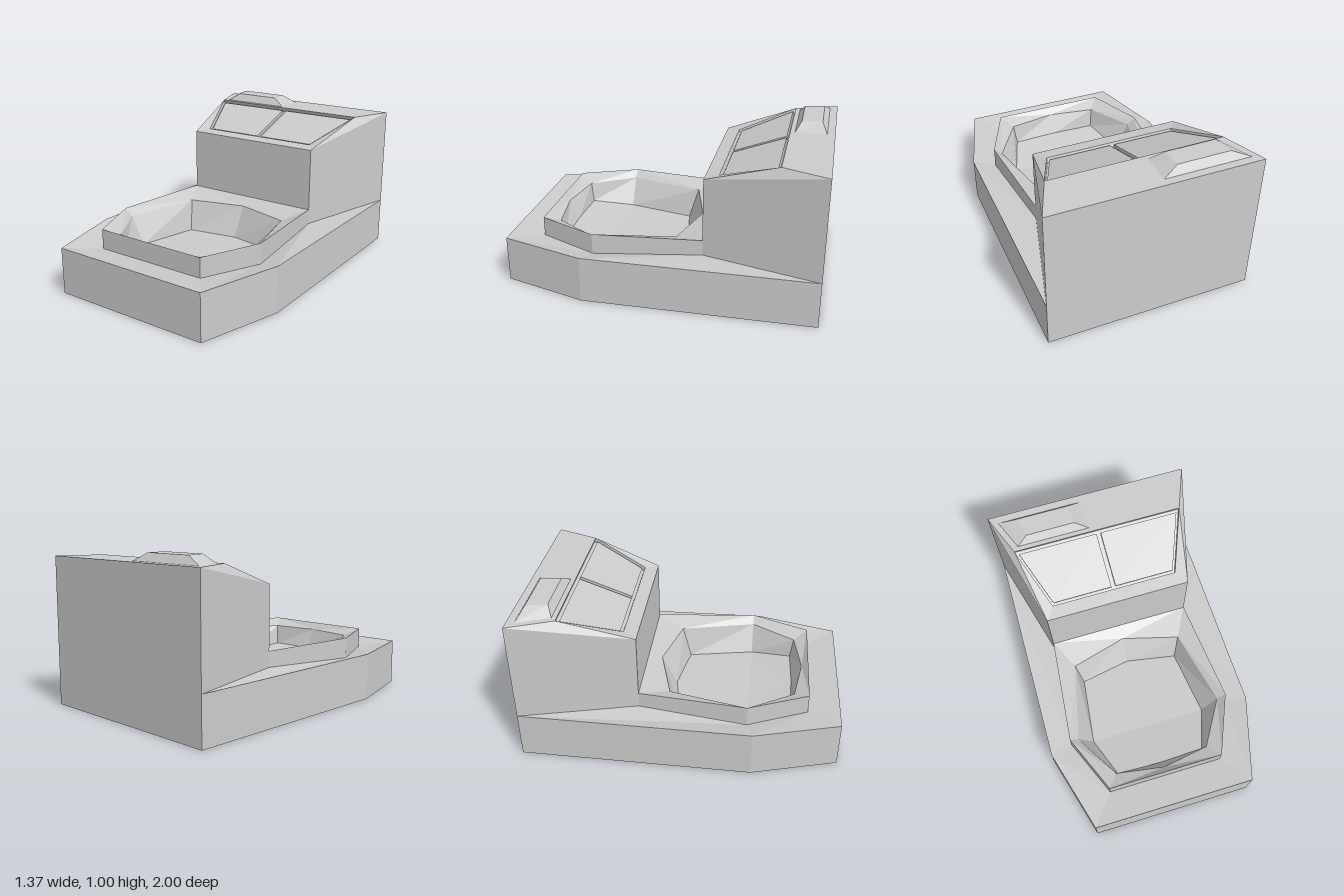
import * as THREE from 'three';

const material = new THREE.MeshStandardMaterial({ color: 0xcccccc, flatShading: true });

// Mirrored outline: half lists [x, y, z] along the right side, front to back
function ring(half) {
  return [...half, ...half.filter((p) => p[0] > 0).reverse().map(mirror)];
}

function mirror([x, y, z]) {
  return [-x, y, z];
}

// Convex polygon, corners counter-clockwise from outside
function poly(...pts) {
  const out = [];
  for (let i = 1; i < pts.length - 1; i++) out.push(...pts[0], ...pts[i], ...pts[i + 1]);
  return out;
}

// Surface between two loops of equal length
function band(a, b) {
  return a.flatMap((p, i) => {
    const j = (i + 1) % a.length;
    return poly(p, a[j], b[j], b[i]);
  });
}

// Upward surface between two loops of any length and height
function collar(outer, inner) {
  const flat = (loop) => loop.map(([x, , z]) => new THREE.Vector2(x, -z));
  const pts = [...outer, ...inner];
  return THREE.ShapeUtils.triangulateShape(flat(outer), [flat(inner)])
    .flatMap((tri) => tri.flatMap((i) => pts[i]));
}

function solid(name, ...parts) {
  const g = new THREE.BufferGeometry();
  g.setAttribute('position', new THREE.Float32BufferAttribute(parts.flat(), 3));
  g.computeVertexNormals();
  const mesh = new THREE.Mesh(g, material);
  mesh.name = name;
  return mesh;
}

export function createModel() {
  const group = new THREE.Group();
  group.name = 'model';

  // Tapered base, its top dipping towards the deck and its underside dished
  const baseAt = (y) => ring([[0.535, y, 1], [0.685, y, 0.46], [0.66, y, -1]]);
  const deckAt = (front, middle, back) =>
    ring([[0.38, front, 0.8], [0.54, middle, 0.42], [0.47, back, -0.27]]);
  const baseLow = baseAt(0), baseTop = baseAt(0.3);
  const deckLow = deckAt(0.268, 0.262, 0.295), deckTop = deckAt(0.395, 0.395, 0.395);
  const dish = deckAt(0.045, 0.045, 0.045);
  group.add(solid('base', band(baseLow, baseTop), band(baseTop, deckLow),
    band(dish, baseLow), poly(...[...dish].reverse())));

  // Raised deck, sloping down to the rim of the tub
  const rim = ring([[0, 0.35, 0.76], [0.31, 0.35, 0.71], [0.485, 0.35, 0.42],
    [0.37, 0.35, -0.08], [0, 0.35, -0.18]]);
  group.add(solid('deck', band(deckLow, deckTop), collar(deckTop, rim)));

  // Sunken tub, its floor rising towards the front
  const floor = ring([[0, 0.22, 0.7], [0.295, 0.22, 0.69], [0.39, 0.17, 0.42],
    [0.335, 0.15, -0.02], [0, 0.15, -0.08]]);
  const [toe, toeR, midR, heelR, heel, heelL, midL, toeL] = floor;
  group.add(solid('tub', band(rim, floor), poly(toe, toeR, midR, midL, toeL),
    poly(midR, heelR, heel, heelL, midL)));

  // Rear cabin: walls, flat roof and the surround of the sloping window
  const frontLow = [0.47, 0.25, -0.265], frontTop = [0.47, 0.8, -0.265];
  const backLow = [0.66, 0.3, -1], backTop = [0.66, 0.95, -1];
  const sillCorner = [0.41, 0.812, -0.35], roofCorner = [0.55, 0.95, -0.72];
  const m = mirror;
  const sideFaces = [
    [frontLow, backLow, backTop, frontTop],
    [frontTop, backTop, roofCorner],
    [frontTop, roofCorner, sillCorner],
  ];
  group.add(solid('cabin',
    poly(m(frontLow), frontLow, frontTop, m(frontTop)),
    poly(backLow, m(backLow), m(backTop), backTop),
    poly(m(roofCorner), roofCorner, backTop, m(backTop)),
    poly(m(frontTop), frontTop, sillCorner, m(sillCorner)),
    ...sideFaces.flatMap((f) => [poly(...f), poly(...f.map(m).reverse())])));

  // Window recess, sunk along the slope's normal
  const sink = (d) => ([x, y, z]) => [x, y - 0.937 * d, z - 0.35 * d];
  const opening = [m(sillCorner), sillCorner, roofCorner, m(roofCorner)];
  const recess = opening.map(sink(0.03));
  group.add(solid('windowFrame', band(opening, recess), poly(...recess)));

  // Two panes with a groove between and around them
  const onSlope = (x, z) => [x, 0.812 + (0.138 * (-0.35 - z)) / 0.37, z];
  const pane = [onSlope(0.014, -0.367), onSlope(0.4, -0.367), onSlope(0.527, -0.7), onSlope(0.014, -0.7)];
  for (const [name, loop] of [['leftPane', pane], ['rightPane', pane.map(m).reverse()]]) {
    const top = loop.map(sink(0.01));
    group.add(solid(name, band(loop.map(sink(0.03)), top), poly(...top)));
  }

  // Bevelled roof vent
  const ventLow = [[-0.52, 0.95, -0.75], [-0.05, 0.95, -0.75], [-0.05, 0.95, -0.95], [-0.6, 0.95, -0.95]];
  const ventTop = [[-0.45, 1, -0.785], [-0.135, 1, -0.785], [-0.145, 1, -0.915], [-0.48, 1, -0.915]];
  group.add(solid('roofVent', band(ventLow, ventTop), poly(...ventTop)));

  return group;
}
